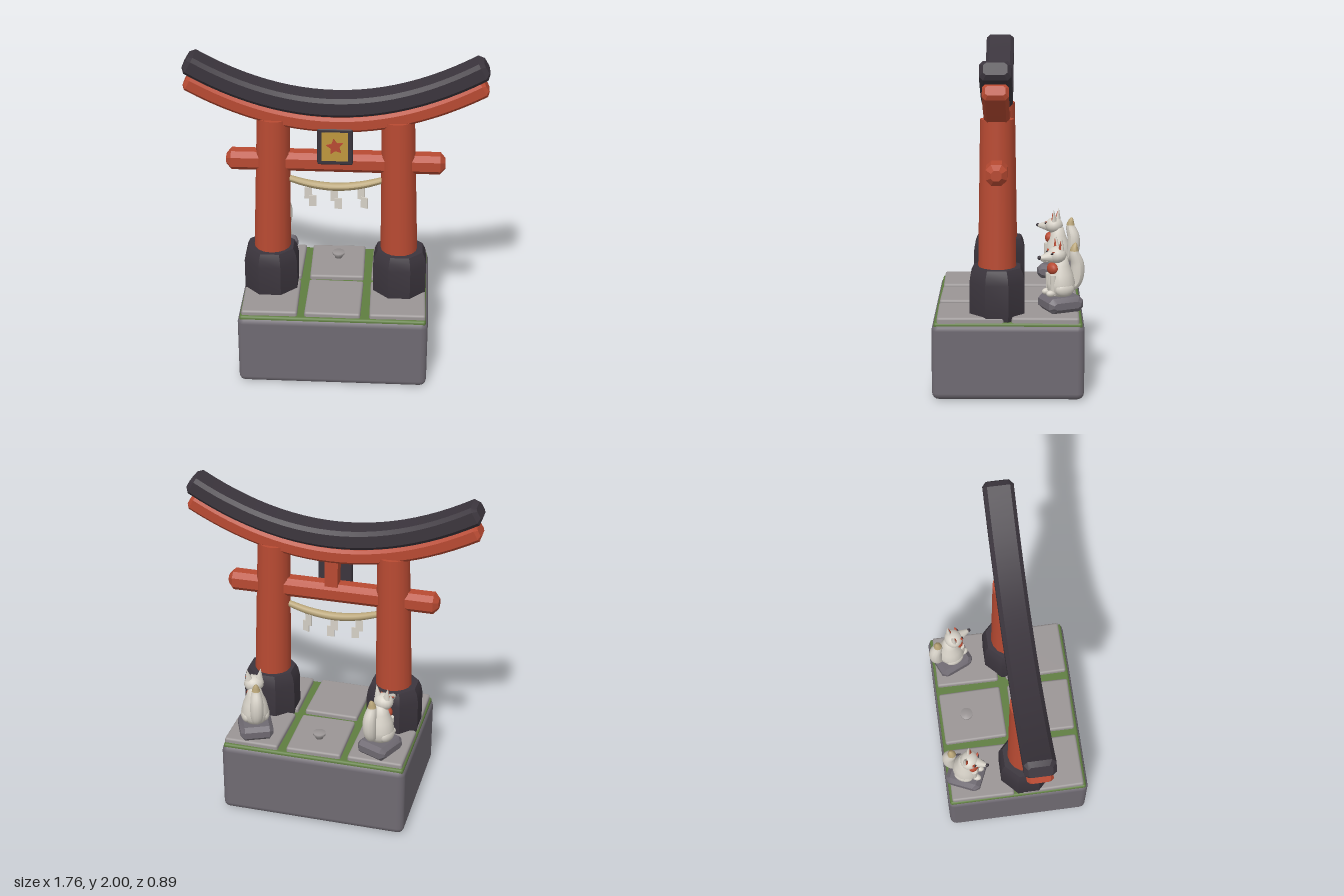
import * as THREE from 'three';
import { toCreasedNormals } from 'three/addons/utils/BufferGeometryUtils.js';
import { RoundedBoxGeometry } from 'three/addons/geometries/RoundedBoxGeometry.js';

const mat = (name, color) => Object.assign(new THREE.MeshStandardMaterial({ color }), { name });
const red = mat('vermilion', 0xb84a32);
const dark = mat('charcoal', 0x3b353d);
const stone = mat('dark stone', 0x6f6a72);
const slab = mat('paving stone', 0x9a9595);
const moss = mat('moss', 0x5f7d40);
const gold = mat('gold', 0xbf973d);
const straw = mat('straw', 0xbaa679);
const white = mat('off white', 0xd6d1c7);

const Z = 0.064; // depth of the gate plane

function add(parent, name, geo, material, x = 0, y = 0, z = 0) {
  const mesh = new THREE.Mesh(geo, material);
  mesh.name = name;
  mesh.position.set(x, y, z);
  parent.add(mesh);
  return mesh;
}

// Beam along x with chamfered edges and ends, bent to y = k * x * x
function beam(length, h, d, c, k = 0, steps = 24) {
  const a = h / 2, b = d / 2, half = length / 2;
  const ring = [[a, -b + c], [a, b - c], [a - c, b], [-a + c, b], [-a, b - c], [-a, -b + c], [-a + c, -b], [a - c, -b]];
  const stations = [[-half, 1 - c / a]];
  for (let i = 0; i <= steps; i++) stations.push([(half - c) * (2 * i / steps - 1), 1]);
  stations.push([half, 1 - c / a]);
  const pos = [], idx = [];
  for (const [x, s] of stations) {
    const slope = 2 * k * x, n = Math.hypot(1, slope);
    for (const [y, z] of ring) pos.push(x - y * s * slope / n, k * x * x + y * s / n, z * (s < 1 ? 1 - c / b : 1));
  }
  const last = stations.length - 1;
  for (let i = 0; i < last; i++) for (let j = 0; j < 8; j++) {
    const p = i * 8 + j, q = i * 8 + (j + 1) % 8;
    idx.push(p, q, q + 8, p, q + 8, p + 8);
  }
  for (let j = 1; j < 7; j++) idx.push(0, j + 1, j, last * 8, last * 8 + j, last * 8 + j + 1);
  const geo = new THREE.BufferGeometry();
  geo.setAttribute('position', new THREE.Float32BufferAttribute(pos, 3));
  geo.setIndex(idx);
  return toCreasedNormals(geo, 0.5);
}

// Tube along points whose radius follows radius(t)
function taperTube(points, radius, steps, sides) {
  const curve = new THREE.CatmullRomCurve3(points.map(p => new THREE.Vector3(...p)));
  const geo = new THREE.TubeGeometry(curve, steps, 1, sides);
  const pos = geo.attributes.position, v = new THREE.Vector3();
  for (let i = 0; i < pos.count; i++) {
    const t = Math.floor(i / (sides + 1)) / steps, c = curve.getPointAt(t);
    v.fromBufferAttribute(pos, i).sub(c).multiplyScalar(radius(t)).add(c);
    pos.setXYZ(i, v.x, v.y, v.z);
  }
  geo.computeVertexNormals();
  return geo;
}

const lathe = (profile, sides) => new THREE.LatheGeometry(profile.map(p => new THREE.Vector2(...p)), sides);

function ball(parent, name, material, x, y, z, rx, ry = rx, rz = rx) {
  const mesh = add(parent, name, new THREE.SphereGeometry(1, 16, 12), material, x, y, z);
  mesh.scale.set(rx, ry, rz);
  return mesh;
}

// Seated guardian fox on its plinth, facing +z
function makeFox() {
  const fox = new THREE.Group();
  fox.name = 'foxStatue';
  const plinth = beam(0.2, 0.09, 0.22, 0.025, 0, 1);
  add(fox, 'plinth', plinth, stone, 0, 0.545, 0);
  add(fox, 'body', lathe([[0, 0.59], [0.06, 0.592], [0.08, 0.625], [0.083, 0.665], [0.07, 0.72], [0.05, 0.77], [0.035, 0.82], [0, 0.83]], 18), white);
  ball(fox, 'head', white, 0, 0.832, 0.027, 0.06, 0.05, 0.055);
  const muzzle = add(fox, 'muzzle', new THREE.CylinderGeometry(0.01, 0.036, 0.075, 12), white, 0, 0.823, 0.1);
  muzzle.rotation.x = Math.PI / 2 + 0.05;
  ball(fox, 'nose', dark, 0, 0.824, 0.138, 0.012);
  ball(fox, 'bib', red, 0, 0.752, 0.052, 0.045, 0.036, 0.032);

  for (const s of [-1, 1]) {
    const ear = add(fox, 'ear', new THREE.ConeGeometry(0.024, 0.075, 8), white, s * 0.036, 0.902, 0.012);
    ear.scale.z = 0.6;
    ear.rotation.z = -s * 0.15;
    const inner = add(fox, 'innerEar', new THREE.ConeGeometry(0.015, 0.052, 8), red, s * 0.036, 0.897, 0.021);
    inner.scale.z = 0.6;
    inner.rotation.z = -s * 0.15;
    const eye = ball(fox, 'eye', dark, s * 0.03, 0.846, 0.071, 0.014, 0.005, 0.008);
    eye.rotation.z = s * 0.35;
    const mark = ball(fox, 'eyeMark', red, s * 0.036, 0.856, 0.065, 0.014, 0.004, 0.007);
    mark.rotation.z = s * 0.35;
    add(fox, 'frontLeg', new THREE.CylinderGeometry(0.02, 0.017, 0.12, 10), white, s * 0.03, 0.66, 0.062);
    ball(fox, 'paw', white, s * 0.03, 0.611, 0.076, 0.021, 0.02, 0.03);
    ball(fox, 'haunch', white, s * 0.052, 0.635, 0.0, 0.035, 0.045, 0.06);
  }

  // Raised tail with a straw coloured tip
  const tail = taperTube([[0, 0.61, -0.05], [0, 0.655, -0.095], [0, 0.76, -0.107], [0, 0.84, -0.085], [0, 0.895, -0.095]],
    t => 0.04 * Math.pow(Math.sin(Math.PI * Math.pow(t, 0.85)), 0.55) + 0.0005, 24, 12);
  tail.clearGroups();
  tail.addGroup(0, 20 * 72, 0);
  tail.addGroup(20 * 72, 4 * 72, 1);
  add(fox, 'tail', tail, [white, straw]);
  return fox;
}

export function createModel() {
  const model = new THREE.Group();
  model.name = 'shrineGate';

  // Stone base, moss bed and paving slabs
  add(model, 'base', new RoundedBoxGeometry(1.14, 0.455, 0.885, 2, 0.04), stone, 0, 0.2275, 0);
  add(model, 'mossBed', new RoundedBoxGeometry(1.115, 0.035, 0.86, 2, 0.015), moss, 0, 0.447, 0);
  [-0.382, 0, 0.385].forEach((x, i) => [-0.218, 0.218].forEach((z, j) => {
    const tile = add(model, 'pavingSlab', new RoundedBoxGeometry(0.335, 0.05, 0.39, 2, 0.014), slab, x, 0.469, z);
    tile.rotation.y = ((i + j) % 2 ? 1 : -1) * 0.012;
  }));

  // Leaning pillars with octagonal footings
  const collar = toCreasedNormals(lathe([[0, 0.46], [0.166, 0.46], [0.173, 0.5], [0.173, 0.68], [0.163, 0.73], [0.147, 0.763], [0, 0.763]], 8), 0.6);
  collar.rotateY(Math.PI / 8);
  for (const s of [-1, 1]) {
    add(model, 'pillarFooting', collar, dark, s * 0.391, 0, Z);
    const pillar = add(model, 'pillar', new THREE.CylinderGeometry(0.097, 0.113, 1.0, 16), red, s * 0.375, 1.12, Z);
    pillar.rotation.z = s * 0.024;
  }

  // Curved lintels and straight tie beam
  add(model, 'topLintel', beam(1.72, 0.115, 0.175, 0.022, 0.345), dark, 0, 1.705, Z);
  add(model, 'lowerLintel', beam(1.73, 0.092, 0.145, 0.018, 0.333), red, 0, 1.594, Z);
  add(model, 'tieBeam', beam(1.29, 0.118, 0.12, 0.03, 0, 1), red, 0, 1.338, Z);
  add(model, 'strut', new THREE.BoxGeometry(0.08, 0.2, 0.07), red, 0, 1.47, Z - 0.01);

  // Plaque with a blossom emblem
  add(model, 'plaqueFrame', new RoundedBoxGeometry(0.208, 0.232, 0.04, 1, 0.01), dark, 0, 1.462, 0.122);
  add(model, 'plaqueFace', new THREE.BoxGeometry(0.154, 0.182, 0.008), gold, 0, 1.466, 0.143);
  const star = new THREE.Shape();
  for (let i = 0; i < 10; i++) {
    const r = i % 2 ? 0.026 : 0.052, a = Math.PI / 2 + i * Math.PI / 5 + 0.15;
    star[i ? 'lineTo' : 'moveTo'](r * Math.cos(a), r * Math.sin(a));
  }
  star.closePath();
  add(model, 'blossom', new THREE.ExtrudeGeometry(star, { depth: 0.008, bevelEnabled: false }), red, 0, 1.47, 0.147);

  // Sagging straw rope with folded paper streamers
  const rope = taperTube([[-0.3, 1.222, Z], [-0.15, 1.18, Z], [0, 1.164, Z], [0.15, 1.18, Z], [0.3, 1.222, Z]],
    t => 0.019 + 0.006 * Math.sin(Math.PI * t), 30, 10);
  add(model, 'rope', rope, straw);
  [[-0.155, 1.12, 0.15], [0, 1.108, 0], [0.16, 1.12, -0.4]].forEach(([x, y, turn]) => {
    const streamer = new THREE.Group();
    streamer.name = 'paperStreamer';
    streamer.position.set(x, y, Z);
    streamer.rotation.y = turn;
    add(streamer, 'upperFold', new THREE.BoxGeometry(0.045, 0.075, 0.008), white, -0.008, 0, 0);
    add(streamer, 'lowerFold', new THREE.BoxGeometry(0.045, 0.07, 0.008), white, 0.016, -0.052, 0.006);
    model.add(streamer);
  });

  // Small offering cup
  add(model, 'offeringCup', lathe([[0, 0.49], [0.022, 0.49], [0.026, 0.505], [0.038, 0.518], [0.038, 0.533], [0, 0.533]], 16), slab, 0, 0, -0.257);

  // Pair of guardian foxes turned outward
  for (const s of [-1, 1]) {
    const fox = makeFox();
    fox.position.set(s * 0.388, 0, -0.306);
    fox.rotation.y = s * 0.42;
    model.add(fox);
  }
  return model;
}
